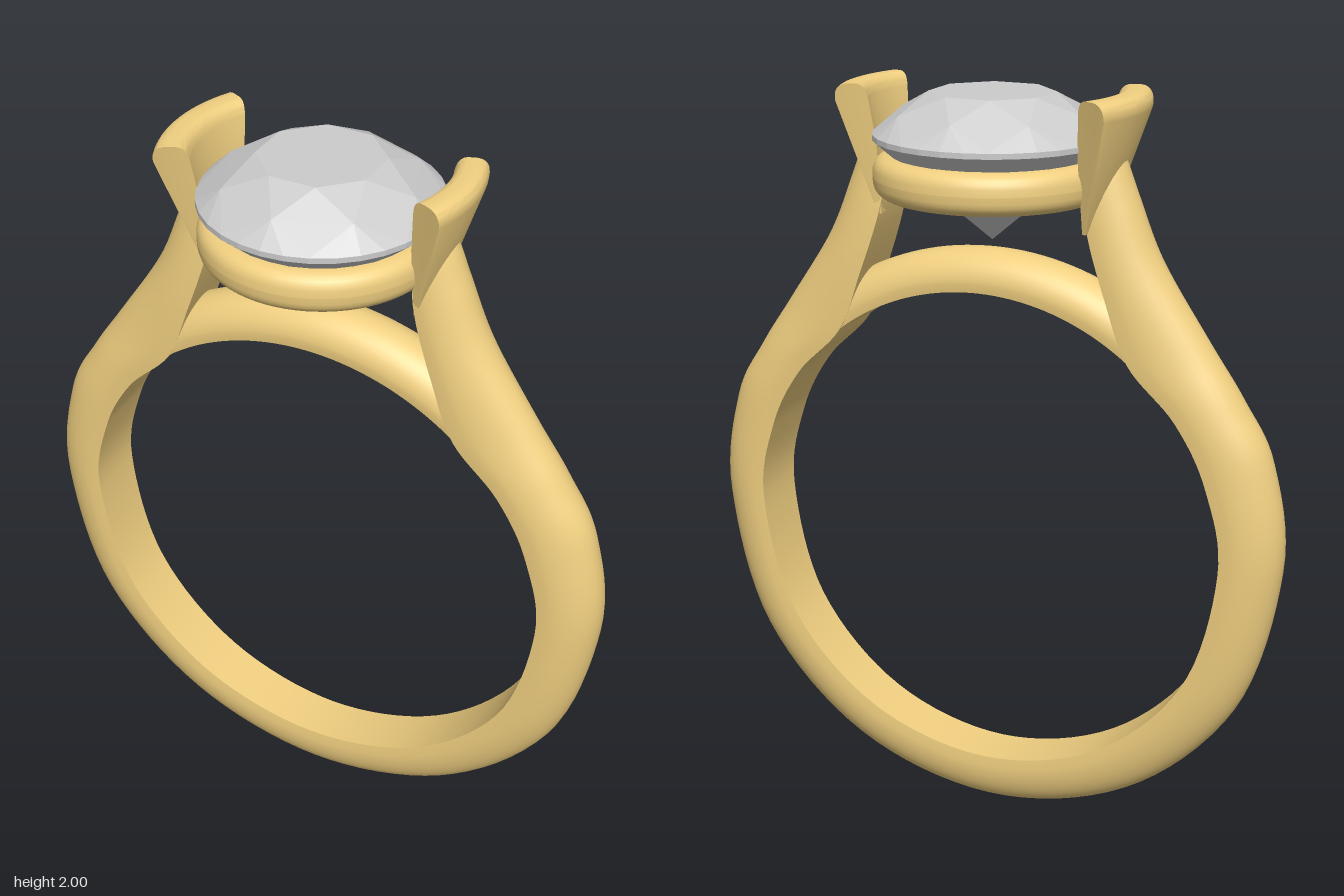
import * as THREE from 'three';
import { toCreasedNormals } from 'three/addons/utils/BufferGeometryUtils.js';
import { ConvexGeometry } from 'three/addons/geometries/ConvexGeometry.js';

const CENTRE_Y = 0.812, INNER_R = 0.666, OUTER_R = 0.812;
const rad = THREE.MathUtils.degToRad;
const polar = (deg, r) => new THREE.Vector3(r * Math.cos(rad(deg)), CENTRE_Y + r * Math.sin(rad(deg)), 0);
const vec = (x, y) => new THREE.Vector3(x, y, 0);

// D-shaped section: flat on the finger side, domed on the outside
function dSection(inner, outer, halfWidth) {
  const ring = [], n = 20;
  for (let j = 0; j <= n; j++) {
    const a = -Math.PI / 2 + (Math.PI * j) / n;
    const p = inner.clone().lerp(outer, 0.2 + 0.8 * Math.cos(a));
    p.z = halfWidth * Math.sin(a);
    ring.push(p);
  }
  const first = inner.clone(), last = inner.clone();
  first.z = -halfWidth * 0.96;
  last.z = halfWidth * 0.96;
  return [first, ...ring, last];
}

// Skin over a list of equal closed rings, with end caps
function loft(rings) {
  const n = rings[0].length, m = rings.length, index = [];
  for (let i = 0; i < m - 1; i++) {
    for (let j = 0; j < n; j++) {
      const k = (j + 1) % n;
      const a = i * n + j, b = i * n + k, c = a + n, d = b + n;
      index.push(a, c, b, b, c, d);
    }
  }
  for (let j = 1; j < n - 1; j++) {
    const e = (m - 1) * n;
    index.push(0, j, j + 1, e, e + j + 1, e + j);
  }
  const geometry = new THREE.BufferGeometry().setFromPoints(rings.flat());
  geometry.setIndex(index);
  return toCreasedNormals(geometry, 0.7);
}

// Band that leaves the finger circle near the top and rises to the prongs
function shankGeometry() {
  const inner = [-90, -60, -30, 0, 20, 36, 52].map((d) => polar(d, INNER_R));
  inner.push(vec(0.345, 1.497), vec(0.292, 1.655), vec(0.28, 1.75), vec(0.31, 1.83));
  const outer = [-90, -60, -30, 0].map((d) => polar(d, OUTER_R));
  outer.push(vec(0.775, 1.097), vec(0.69, 1.255), vec(0.595, 1.395),
    vec(0.465, 1.59), vec(0.398, 1.745), vec(0.365, 1.83), vec(0.345, 1.87));
  const width = [0.073, 0.076, 0.082, 0.088, 0.09, 0.09, 0.09, 0.088, 0.079, 0.068, 0.05]
    .map((w) => vec(w, 0));
  const flip = (p) => vec(-p.x, p.y);
  const both = (pts, mirror) => new THREE.CatmullRomCurve3(
    [...pts.slice(1).reverse().map(mirror), ...pts], false, 'catmullrom', 0.5);
  const a = both(inner, flip), b = both(outer, flip), w = both(width, (p) => p.clone());
  const rings = [], steps = 160;
  for (let i = 0; i <= steps; i++) {
    const t = i / steps;
    rings.push(dSection(a.getPoint(t), b.getPoint(t), w.getPoint(t).x));
  }
  return loft(rings);
}

// Arch closing the finger circle below the stone
function bridgeGeometry() {
  const rings = [];
  for (let d = 50; d <= 130; d += 2) {
    rings.push(dSection(polar(d, INNER_R + 0.002), polar(d, 0.773), 0.086));
  }
  return loft(rings);
}

// Wedge with a rounded top, bent around the stone's axis and narrowing downwards
function prongGeometry(topAngle, reach) {
  const s = new THREE.Shape();
  s.moveTo(0.292, 1.66);
  s.lineTo(0.302, 1.66);
  s.lineTo(reach - 0.002, 1.955);
  s.quadraticCurveTo(reach + 0.004, 1.998, reach - 0.035, 2);
  s.lineTo(0.345, 2);
  s.quadraticCurveTo(0.322, 1.998, 0.315, 1.965);
  s.lineTo(0.298, 1.85);
  s.lineTo(0.292, 1.66);
  const geometry = new THREE.ExtrudeGeometry(s, { depth: 1, steps: 14, curveSegments: 8, bevelEnabled: false });
  const pos = geometry.attributes.position;
  for (let i = 0; i < pos.count; i++) {
    const r = pos.getX(i), y = pos.getY(i);
    const half = rad(topAngle) * (0.62 + (0.38 * (y - 1.66)) / 0.34);
    const a = (pos.getZ(i) * 2 - 1) * half;
    pos.setXYZ(i, r * Math.cos(a), y, r * Math.sin(a));
  }
  return toCreasedNormals(geometry, 0.6);
}

// Rounded ring the stone rests on
function seatGeometry() {
  const pts = [], n = 28;
  const soft = (v) => Math.sign(v) * Math.pow(Math.abs(v), 0.75);
  for (let i = 0; i <= n; i++) {
    const a = (2 * Math.PI * i) / n;
    pts.push(new THREE.Vector2(0.246 + 0.059 * soft(Math.cos(a)), 1.775 + 0.055 * soft(Math.sin(a))));
  }
  return new THREE.LatheGeometry(pts, 72);
}

// Round brilliant cut: table, crown, girdle and pointed pavilion
function stoneGeometry() {
  const pts = [new THREE.Vector3(0, 1.605, 0)];
  const tier = (count, r, y, turn) => {
    for (let i = 0; i < count; i++) {
      const a = ((i + turn) / count) * 2 * Math.PI;
      pts.push(new THREE.Vector3(r * Math.sin(a), y, r * Math.cos(a)));
    }
  };
  tier(8, 0.16, 1.985, 0.5);
  tier(8, 0.25, 1.935, 0);
  tier(32, 0.305, 1.882, 0);
  tier(32, 0.305, 1.868, 0);
  tier(16, 0.262, 1.83, 0.5);
  return new ConvexGeometry(pts);
}

export function createModel() {
  const gold = new THREE.MeshStandardMaterial({ color: 0xf0cf80 });
  const grey = new THREE.MeshStandardMaterial({ color: 0xcccccc, flatShading: true });
  const model = new THREE.Group();
  model.name = 'ring';
  const add = (name, geometry, material = gold) => {
    const mesh = new THREE.Mesh(geometry, material);
    mesh.name = name;
    model.add(mesh);
    return mesh;
  };
  add('shank', shankGeometry());
  add('bridge', bridgeGeometry());
  add('stoneSeat', seatGeometry());
  add('leftProng', prongGeometry(21.5, 0.4));
  add('rightProng', prongGeometry(26, 0.405)).rotation.y = Math.PI;
  add('stone', stoneGeometry(), grey);
  return model;
}
